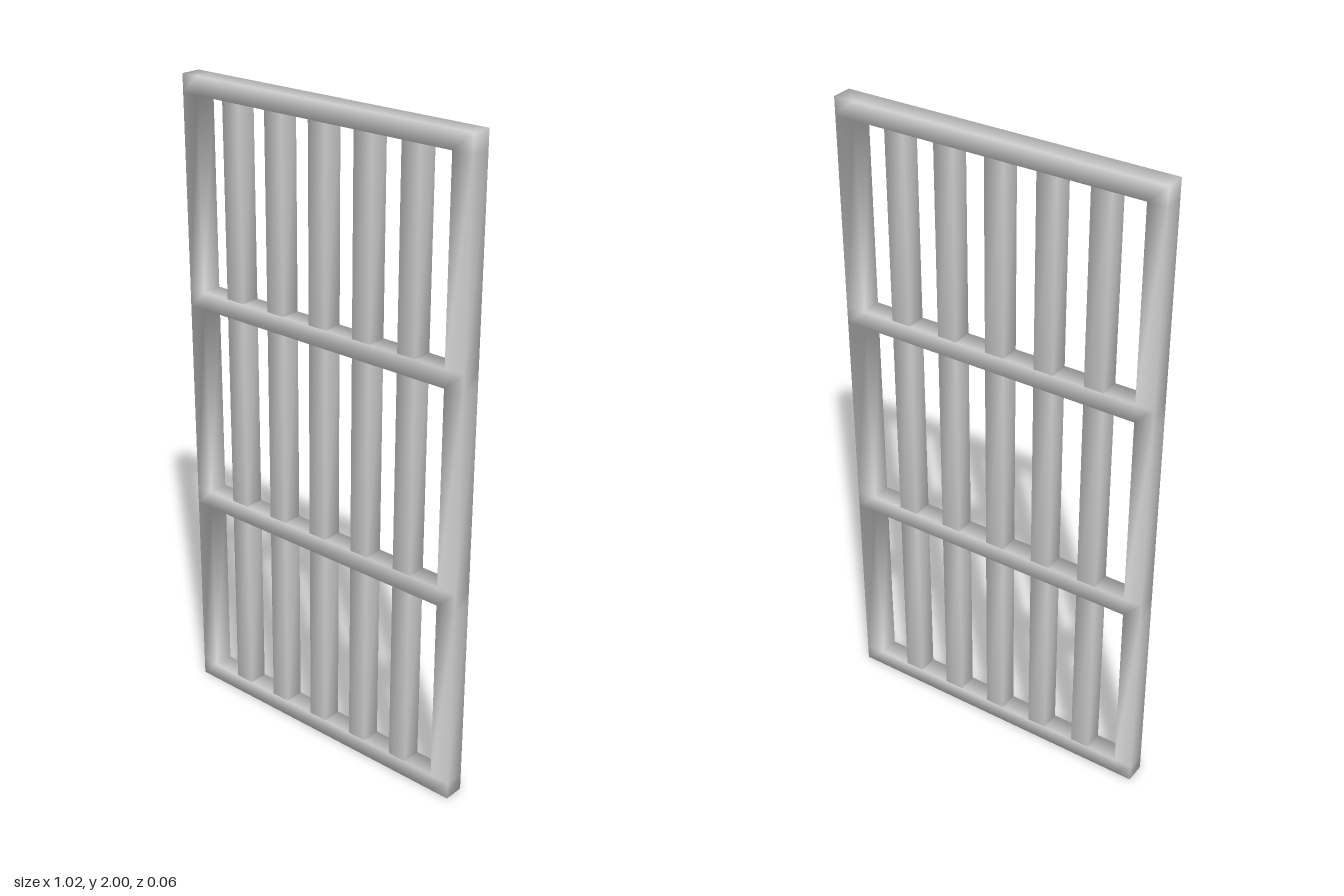
import * as THREE from 'three';
import { mergeVertices } from 'three/addons/utils/BufferGeometryUtils.js';

const material = new THREE.MeshStandardMaterial({ color: 0xcccccc });
const HALF_DEPTH = 0.032;

// Grid lines of the frame: posts, then bottom, lower, upper and top rails
const xs = [-0.51, -0.453, 0.446, 0.51];
const ys = [0, 0.053, 0.64, 0.697, 1.305, 1.361, 1.945, 2];

// One welded lattice: solid cells get front and back faces, plus walls beside empty cells
function latticeGeometry() {
  const nx = xs.length, ny = ys.length;
  const positions = [], index = [];
  for (const z of [-HALF_DEPTH, HALF_DEPTH])
    for (const y of ys) for (const x of xs) positions.push(x, y, z);
  const id = (i, j, front) => front * nx * ny + j * nx + i;
  const solid = (i, j) =>
    i >= 0 && j >= 0 && i < nx - 1 && j < ny - 1 && (i !== 1 || j % 2 === 0);
  const quad = (a, b, c, d) => index.push(a, b, c, a, c, d);
  const wall = (i0, j0, i1, j1) =>
    quad(id(i0, j0, 1), id(i0, j0, 0), id(i1, j1, 0), id(i1, j1, 1));

  for (let j = 0; j < ny - 1; j++) {
    for (let i = 0; i < nx - 1; i++) {
      if (!solid(i, j)) continue;
      quad(id(i, j, 1), id(i + 1, j, 1), id(i + 1, j + 1, 1), id(i, j + 1, 1));
      quad(id(i + 1, j, 0), id(i, j, 0), id(i, j + 1, 0), id(i + 1, j + 1, 0));
      if (!solid(i + 1, j)) wall(i + 1, j, i + 1, j + 1);
      if (!solid(i - 1, j)) wall(i, j + 1, i, j);
      if (!solid(i, j + 1)) wall(i + 1, j + 1, i, j + 1);
      if (!solid(i, j - 1)) wall(i, j, i + 1, j);
    }
  }
  const geometry = new THREE.BufferGeometry();
  geometry.setAttribute('position', new THREE.Float32BufferAttribute(positions, 3));
  geometry.setIndex(index);
  geometry.computeVertexNormals();
  return geometry;
}

// Box whose corners share softened normals
function softBox(width, height, depth) {
  const box = new THREE.BoxGeometry(width, height, depth);
  box.deleteAttribute('normal');
  box.deleteAttribute('uv');
  const geometry = mergeVertices(box);
  geometry.computeVertexNormals();
  return geometry;
}

export function createModel() {
  const model = new THREE.Group();
  model.name = 'barredPanel';

  // Outer frame with its two cross rails
  const frame = new THREE.Mesh(latticeGeometry(), material);
  frame.name = 'frameAndRails';
  model.add(frame);

  // Five upright bars in each of the three bays, ends set into the rails
  const bars = new THREE.Group();
  bars.name = 'uprightBars';
  for (let bay = 0; bay < 3; bay++) {
    const bottom = ys[2 * bay + 1] - 0.02;
    const top = ys[2 * bay + 2] + 0.02;
    const geometry = softBox(0.062, top - bottom, 2 * HALF_DEPTH - 0.003);
    for (let i = -2; i <= 2; i++) {
      const bar = new THREE.Mesh(geometry, material);
      bar.name = 'uprightBar';
      bar.position.set(-0.005 + i * 0.16, (bottom + top) / 2, 0);
      bars.add(bar);
    }
  }
  model.add(bars);
  return model;
}
